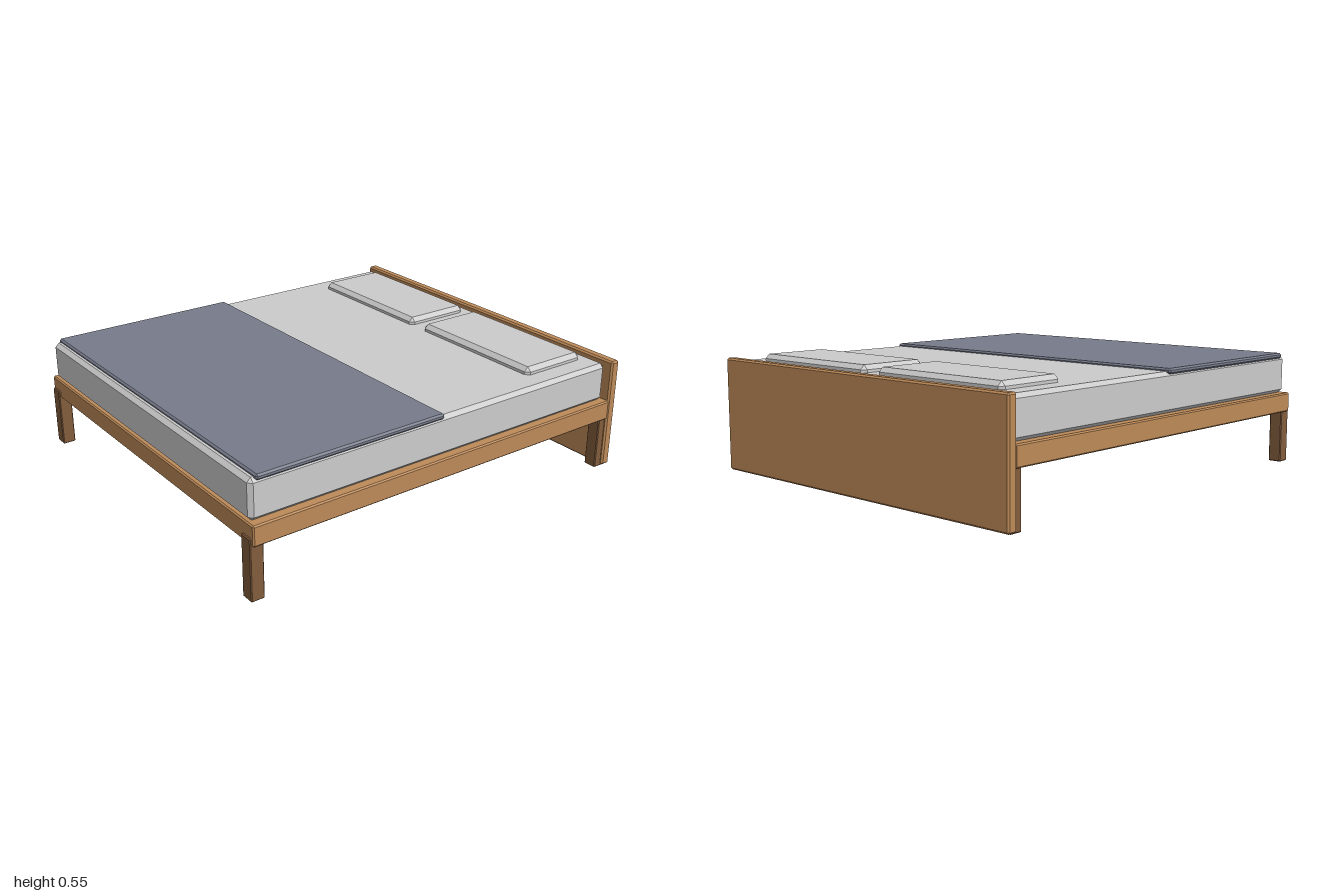
import * as THREE from 'three';
import { ConvexGeometry } from 'three/addons/geometries/ConvexGeometry.js';

const material = (color) => new THREE.MeshStandardMaterial({ color });

// Box between two corners with every edge cut by a chamfer c.
function chamferBox(name, [x0, x1], [y0, y1], [z0, z1], c, mat) {
  const half = [(x1 - x0) / 2, (y1 - y0) / 2, (z1 - z0) / 2];
  const points = [];
  for (const sx of [-1, 1]) for (const sy of [-1, 1]) for (const sz of [-1, 1])
    for (let axis = 0; axis < 3; axis++) {
      const [x, y, z] = half.map((h, i) => (i === axis ? h : h - c));
      points.push(new THREE.Vector3(sx * x, sy * y, sz * z));
    }
  const mesh = new THREE.Mesh(new ConvexGeometry(points), mat);
  mesh.name = name;
  mesh.position.set((x0 + x1) / 2, (y0 + y1) / 2, (z0 + z1) / 2);
  return mesh;
}

export function createModel() {
  const bed = new THREE.Group();
  bed.name = 'bed';
  const wood = material(0xbd8a58);
  const darkWood = material(0x825d3d);
  const linen = material(0xcccccc);
  const cloth = material(0x777c8b);

  // Wooden platform and headboard
  bed.add(chamferBox('bedFrame', [-0.895, 0.895], [0.245, 0.337], [-0.96, 0.99], 0.006, wood));
  bed.add(chamferBox('headboard', [-0.897, 0.897], [0.005, 0.53], [-1, -0.953], 0.008, wood));

  // Bedding
  bed.add(chamferBox('mattress', [-0.865, 0.865], [0.335, 0.517], [-0.946, 0.983], 0.018, linen));
  bed.add(chamferBox('blanket', [-0.868, 0.868], [0.504, 0.53], [0.03, 0.953], 0.008, cloth));

  // Mirrored pillows and legs
  for (const [side, s] of [['left', 1], ['right', -1]]) {
    const span = (a, b) => [s * a, s * b].sort((p, q) => p - q);
    bed.add(chamferBox(side + 'Pillow', span(0.04, 0.76), [0.49, 0.55], [-0.892, -0.55], 0.02, linen));
    bed.add(chamferBox(side + 'FrontLeg', span(0.822, 0.885), [0, 0.28], [0.938, 1], 0.004, darkWood));
    bed.add(chamferBox(side + 'BackLeg', span(0.822, 0.885), [0, 0.28], [-0.978, -0.916], 0.004, darkWood));
  }
  return bed;
}
